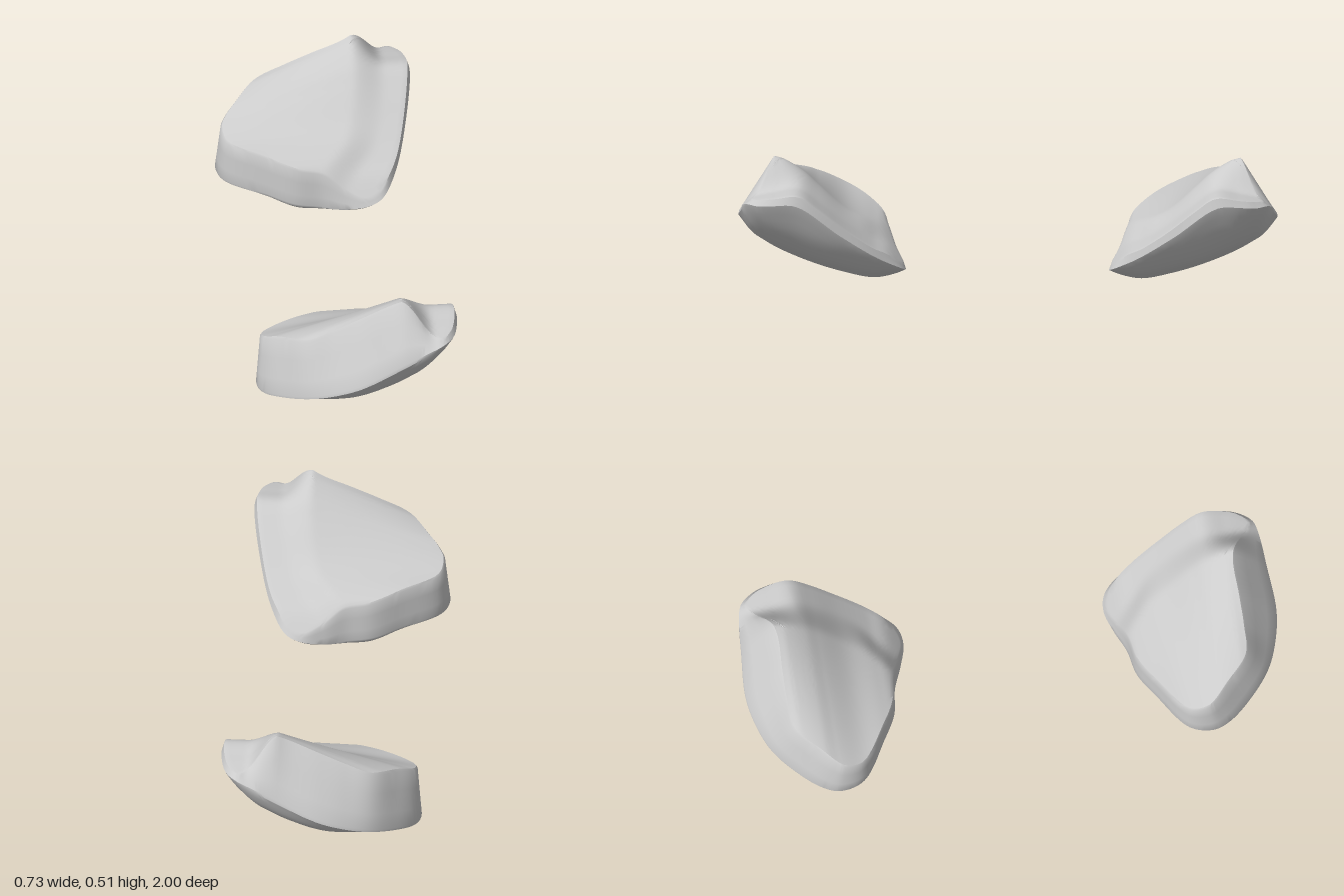
import * as THREE from 'three';
import { toCreasedNormals } from 'three/addons/utils/BufferGeometryUtils.js';

// Smooth curve through [position, value] pairs, held constant past the ends
function profile(pts) {
  const slope = (i) => {
    const a = pts[Math.max(i - 1, 0)], b = pts[Math.min(i + 1, pts.length - 1)];
    return (b[1] - a[1]) / (b[0] - a[0]);
  };
  return (x) => {
    if (x <= pts[0][0]) return pts[0][1];
    if (x >= pts[pts.length - 1][0]) return pts[pts.length - 1][1];
    let i = 0;
    while (x > pts[i + 1][0]) i++;
    const [x0, y0] = pts[i], [x1, y1] = pts[i + 1];
    const h = x1 - x0, t = (x - x0) / h, t2 = t * t, t3 = t2 * t;
    return (2 * t3 - 3 * t2 + 1) * y0 + (t3 - 2 * t2 + t) * h * slope(i)
      + (3 * t2 - 2 * t3) * y1 + (t3 - t2) * h * slope(i + 1);
  };
}

// Underside: a bowl, the sum of one curve across x and one along z
const bowlX = profile([[-0.37, 0.045], [-0.3, 0.034], [-0.2, 0.016], [-0.05, 0], [0.1, 0.028],
  [0.2, 0.08], [0.25, 0.125], [0.3, 0.19], [0.33, 0.245], [0.37, 0.33]]);
const bowlZ = profile([[0.37, 0.02], [0.42, 0.008], [0.5, 0], [0.6, 0.02], [0.7, 0.05], [0.8, 0.09],
  [0.9, 0.138], [0.95, 0.17], [1, 0.235]]);
const bottomY = (x, z) => bowlX(x) + bowlZ(z);

// Top: a sloping plateau ending in a ridge, then a step down to the flange
const ridgeX = profile([[0.42, -0.02], [0.46, 0.02], [0.55, 0.1], [0.7, 0.146], [0.86, 0.152]]);
const ridgeY = profile([[0.4, 0.16], [0.46, 0.22], [0.5, 0.245], [0.6, 0.31], [0.7, 0.41],
  [0.75, 0.46], [0.82, 0.508], [0.86, 0.522]]);
const tilt = profile([[0.45, 0], [0.55, 0.08], [0.68, 0.22], [0.86, 0.45]]);
const flangeY = profile([[0.38, 0.105], [0.44, 0.17], [0.5, 0.21], [0.6, 0.29], [0.7, 0.38],
  [0.77, 0.432], [0.86, 0.422], [0.96, 0.4]]);
function topY(x, z) {
  const rx = ridgeX(z);
  const plateau = ridgeY(z) - tilt(z) * Math.max(rx - x, 0);
  return THREE.MathUtils.lerp(plateau, flangeY(z), THREE.MathUtils.smoothstep(x, rx, rx + 0.12));
}

// Matching outlines as [lower x, lower y, lower z, upper x, upper z]
const outline = [
  [-0.37, 0.07, 0.7, -0.35, 0.68], [-0.345, 0.075, 0.61, -0.338, 0.612], [-0.2, 0.07, 0.51, -0.2, 0.512],
  [-0.1, 0.055, 0.455, -0.1, 0.458], [0, 0.05, 0.435, 0, 0.44], [0.08, 0.06, 0.4, 0.08, 0.412],
  [0.16, 0.082, 0.375, 0.16, 0.385], [0.22, 0.105, 0.39, 0.215, 0.405], [0.28, 0.165, 0.48, 0.275, 0.485],
  [0.33, 0.27, 0.62, 0.325, 0.625], [0.365, 0.395, 0.78, 0.355, 0.78], [0.357, 0.395, 0.87, 0.347, 0.865],
  [0.34, 0.388, 0.92, 0.33, 0.91], [0.305, 0.385, 0.962, 0.295, 0.945], [0.25, 0.362, 0.98, 0.23, 0.905],
  [0.15, 0.312, 0.99, 0.14, 0.86], [0, 0.24, 1, 0, 0.86], [-0.1, 0.2, 0.98, -0.1, 0.86],
  [-0.2, 0.16, 0.935, -0.2, 0.85], [-0.29, 0.115, 0.85, -0.29, 0.76], [-0.35, 0.08, 0.765, -0.335, 0.71],
];
const CX = 0, CZ = 0.7, N = outline.length * 7, RINGS = 22;

function sampleLoop(points) {
  const curve = new THREE.CatmullRomCurve3(points, true, 'centripetal');
  return Array.from({ length: N }, (_, i) => curve.getPoint(i / N));
}

// Rings run from the underside centre, out and up the wall, to the top centre
function padGeometry(side) {
  const lower = sampleLoop(outline.map(([x, y, z]) => new THREE.Vector3(x, y, z)));
  const upper = sampleLoop(outline.map(([, , , x, z]) => new THREE.Vector3(x, 0, z)));
  upper.forEach((p) => { p.y = topY(p.x, p.z); });

  // Each surface bends into its edge as it nears the outline
  const shrink = (p, s, height) => {
    const x = CX + (p.x - CX) * s, z = CZ + (p.z - CZ) * s;
    return new THREE.Vector3(x, height(x, z) + (p.y - height(p.x, p.z)) * s ** 5, z);
  };
  const rings = [];
  for (let i = 0; i <= RINGS; i++) rings.push(lower.map((p) => shrink(p, 0.99 * i / RINGS, bottomY)));
  for (const t of [0.04, 0.3, 0.65, 0.96]) rings.push(lower.map((p, j) => p.clone().lerp(upper[j], t)));
  for (let i = RINGS; i >= 0; i--) rings.push(upper.map((p) => shrink(p, 0.985 * i / RINGS, topY)));

  const index = [], last = rings.length - 1;
  const tri = (a, b, c) => index.push(...(side > 0 ? [a, b, c] : [a, c, b]));
  for (let i = 0; i < last; i++) {
    for (let j = 0; j < N; j++) {
      const a = i * N + j, b = i * N + (j + 1) % N, c = a + N, d = b + N;
      if (i > 0) tri(a, c, b);
      if (i < last - 1) tri(b, c, d);
    }
  }
  const geometry = new THREE.BufferGeometry();
  geometry.setAttribute('position', new THREE.Float32BufferAttribute(
    rings.flatMap((ring) => ring.flatMap((p) => [p.x, p.y, p.z * side])), 3));
  geometry.setIndex(index);
  return toCreasedNormals(geometry, 0.6);
}

export function createModel() {
  const group = new THREE.Group();
  group.name = 'padPair';
  const material = new THREE.MeshStandardMaterial({ color: 0xcccccc, roughness: 0.8 });
  // Two mirrored pads, front and back
  for (const [name, side] of [['frontPad', 1], ['backPad', -1]]) {
    const pad = new THREE.Mesh(padGeometry(side), material);
    pad.name = name;
    group.add(pad);
  }
  return group;
}
